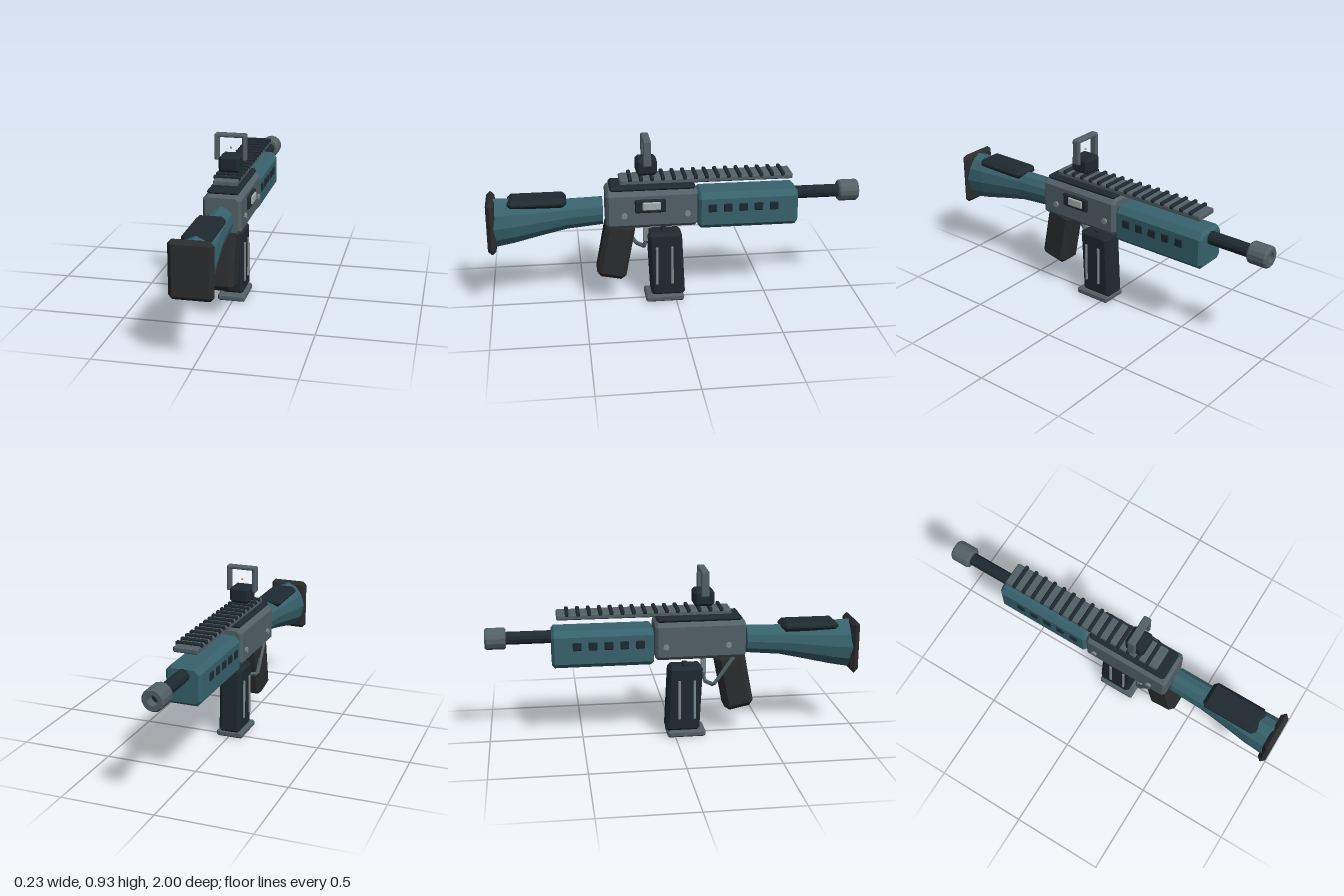
import * as THREE from 'three';
import { ConvexGeometry } from 'three/addons/geometries/ConvexGeometry.js';

const mat = (color) => new THREE.MeshStandardMaterial({ color, flatShading: true, roughness: 0.8 });

export function createModel() {
  const TEAL = mat(0x37626d), GREY = mat(0x526167), DARK = mat(0x1e2930), BLACK = mat(0x2b2c2e);
  const LIGHT = mat(0xa3afb0), PIN = mat(0x7d8a8e), GOLD = mat(0xb89a50);

  const model = new THREE.Group();
  model.name = 'rifle';
  const body = new THREE.Group();
  body.name = 'body';
  body.position.x = -0.006;
  model.add(body);

  const add = (name, geometry, material) => {
    const mesh = new THREE.Mesh(geometry, material);
    mesh.name = name;
    body.add(mesh);
    return mesh;
  };

  // Box with chamfered edges between two corners; warp(v) may bend its points
  const block = (name, material, [x0, x1], [y0, y1], [z0, z1], c = 0.01, warp = null) => {
    const center = new THREE.Vector3(x0 + x1, y0 + y1, z0 + z1).multiplyScalar(0.5);
    const half = new THREE.Vector3(x1 - x0, y1 - y0, z1 - z0).multiplyScalar(0.5);
    const points = [];
    for (const sx of [-1, 1]) for (const sy of [-1, 1]) for (const sz of [-1, 1]) {
      for (let full = 0; full < 3; full++) {
        const d = [0, 1, 2].map((i) => (i === full ? 0 : c));
        const p = new THREE.Vector3(sx * (half.x - d[0]), sy * (half.y - d[1]), sz * (half.z - d[2])).add(center);
        if (warp) warp(p);
        points.push(p);
      }
    }
    return add(name, new ConvexGeometry(points), material);
  };

  // Mirrored outline (right half, bottom to top) drawn out along z with bevelled ends
  const prism = (name, material, halfOutline, z0, z1, bevel) => {
    const right = halfOutline.map(([x, y]) => new THREE.Vector2(x, y));
    const left = halfOutline.map(([x, y]) => new THREE.Vector2(-x, y)).reverse();
    const geo = new THREE.ExtrudeGeometry(new THREE.Shape([...right, ...left]), {
      depth: z1 - z0 - 2 * bevel, bevelEnabled: true, bevelSegments: 1,
      bevelSize: bevel, bevelThickness: bevel, bevelOffset: -bevel,
    });
    geo.translate(0, 0, z0 + bevel);
    return add(name, geo, material);
  };

  // Receiver, top cover and handguard
  prism('receiver', GREY, [[0.08, 0.45], [0.1, 0.47], [0.1, 0.632], [0.072, 0.656]], -0.11, 0.375, 0.014);
  block('topCover', DARK, [-0.083, 0.083], [0.65, 0.679], [-0.1, 0.355], 0.012);
  prism('handguard', TEAL, [[0.07, 0.426], [0.094, 0.45], [0.094, 0.595], [0.066, 0.626]], -0.655, -0.117, 0.014);

  // Vent slots and pins on both sides
  for (const s of [-1, 1]) {
    for (let i = 0; i < 5; i++) {
      const z = -0.19 - i * 0.083;
      block('ventSlot', DARK, [s * 0.093 - 0.007, s * 0.093 + 0.007], [0.523, 0.567], [z - 0.023, z + 0.023], 0.004);
    }
    for (const z of [0.28, -0.055]) {
      const pin = add('pin', new THREE.CylinderGeometry(0.016, 0.016, 0.02, 10), PIN);
      pin.rotation.z = Math.PI / 2;
      pin.position.set(s * 0.1, 0.527, z);
    }
  }

  // Ejection port
  block('portFrame', DARK, [0.09, 0.113], [0.541, 0.614], [0.06, 0.225], 0.006);
  block('portCover', LIGHT, [0.1, 0.121], [0.557, 0.602], [0.088, 0.185], 0.005);

  // Barrel and hollow muzzle
  const barrel = add('barrel', new THREE.CylinderGeometry(0.035, 0.035, 0.28, 12), DARK);
  barrel.rotation.x = -Math.PI / 2;
  barrel.position.set(0, 0.58, -0.77);
  const muzzleProfile = [[0, 0], [0.05, 0], [0.058, 0.009], [0.058, 0.101], [0.05, 0.11], [0.027, 0.11], [0.027, 0.05]];
  const muzzle = add('muzzle', new THREE.LatheGeometry(muzzleProfile.map(([r, h]) => new THREE.Vector2(r, h)), 14), GREY);
  muzzle.rotation.x = -Math.PI / 2;
  muzzle.position.set(0, 0.58, -0.89);
  const bore = add('bore', new THREE.CircleGeometry(0.028, 14), DARK);
  bore.rotation.y = Math.PI;
  bore.position.set(0, 0.58, -0.95);

  // Top rail with cross ridges
  block('rail', GREY, [-0.064, 0.064], [0.682, 0.712], [-0.625, 0.3], 0.006);
  for (let i = 0; i < 15; i++) {
    const z = 0.245 - i * 0.0582;
    block('railRidge', DARK, [-0.071, 0.071], [0.703, 0.724], [z - 0.01, z + 0.01], 0.004);
  }

  // Sight
  block('sightBase', DARK, [-0.056, 0.056], [0.728, 0.815], [0.1, 0.21], 0.014);
  for (const s of [-1, 1]) {
    block('sightPost', GREY, [s * 0.073 - 0.011, s * 0.073 + 0.011], [0.785, 0.92], [0.134, 0.176], 0.005);
  }
  block('sightTop', GREY, [-0.083, 0.083], [0.906, 0.925], [0.134, 0.176], 0.005);
  add('sightBead', new THREE.SphereGeometry(0.006, 8, 6), GOLD).position.set(0, 0.85, 0.155);

  // Stock: oval sections [z, bottom, top, half width] joined in rings
  const sections = [
    [0.39, 0.45, 0.604, 0.066], [0.58, 0.432, 0.6, 0.068], [0.72, 0.4, 0.606, 0.08],
    [0.86, 0.366, 0.614, 0.096], [0.97, 0.345, 0.618, 0.1],
  ];
  const SIDES = 12, positions = [], index = [];
  for (const [z, y0, y1, w] of sections) {
    for (let i = 0; i < SIDES; i++) {
      const a = (i / SIDES) * Math.PI * 2;
      positions.push(Math.cos(a) * w, (y0 + y1) / 2 + Math.sin(a) * (y1 - y0) / 2, z);
    }
  }
  for (let r = 0; r < sections.length - 1; r++) {
    for (let i = 0; i < SIDES; i++) {
      const a = r * SIDES + i, b = r * SIDES + (i + 1) % SIDES;
      index.push(a, b, a + SIDES, b, b + SIDES, a + SIDES);
    }
  }
  const last = (sections.length - 1) * SIDES;
  for (let i = 1; i < SIDES - 1; i++) index.push(0, i + 1, i, last, last + i, last + i + 1);
  const stock = new THREE.BufferGeometry();
  stock.setAttribute('position', new THREE.Float32BufferAttribute(positions, 3));
  stock.setIndex(index);
  stock.computeVertexNormals();
  add('stock', stock, TEAL);
  block('buttPad', BLACK, [-0.109, 0.109], [0.336, 0.628], [0.955, 1], 0.02);
  block('cheekRest', DARK, [-0.075, 0.075], [0.572, 0.622], [0.58, 0.89], 0.02);

  // Slanted grip
  block('grip', BLACK, [-0.069, 0.069], [0.148, 0.465], [0.273, 0.437], 0.025, (p) => {
    p.y += (p.z - 0.355) * 0.2;
    p.z += (0.148 - p.y) * 0.19;
  });

  // Trigger and guard
  block('trigger', PIN, [-0.012, 0.012], [0.335, 0.455], [0.146, 0.174], 0.004);
  const guardPath = new THREE.CurvePath();
  const guardPoints = [[-0.005, 0.35, 0.16], [-0.01, 0.3, 0.165], [-0.072, 0.296, 0.205], [-0.072, 0.45, 0.315]]
    .map((p) => new THREE.Vector3(...p));
  for (let i = 0; i < 3; i++) guardPath.add(new THREE.LineCurve3(guardPoints[i], guardPoints[i + 1]));
  add('triggerGuard', new THREE.TubeGeometry(guardPath, 24, 0.011, 6), GREY);

  // Magazine with ribs and foot plate, leaning forward towards the bottom
  const lean = (p) => { p.z += (p.y - 0.395) * 0.05; };
  block('magazine', DARK, [-0.06, 0.06], [0.03, 0.395], [-0.032, 0.152], 0.016, lean);
  block('magazineLip', DARK, [-0.03, 0.03], [0.385, 0.408], [0.045, 0.075], 0.004);
  for (const s of [-1, 1]) {
    for (const z of [0.105, 0.022]) {
      block('magazineRib', PIN, [s * 0.061 - 0.007, s * 0.061 + 0.007], [0.1, 0.32], [z - 0.007, z + 0.007], 0.003);
    }
  }
  block('magazineFoot', GREY, [-0.074, 0.074], [0, 0.035], [-0.042, 0.166], 0.008);

  return model;
}
